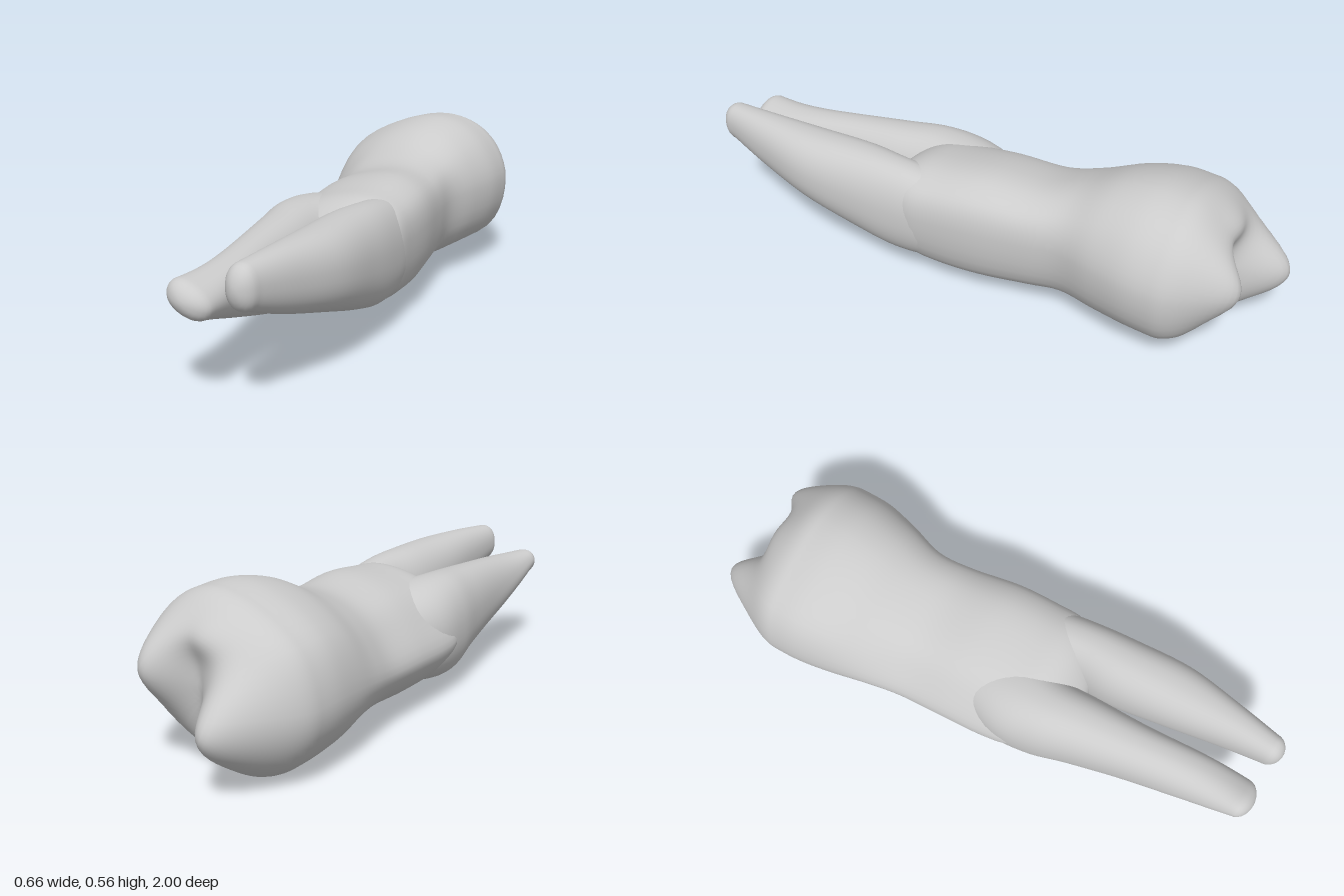
import * as THREE from 'three';
import { mergeVertices } from 'three/addons/utils/BufferGeometryUtils.js';

const SEG = 56;
const material = new THREE.MeshStandardMaterial({ color: 0xcccccc });

// Closed outlines in a -1..1 box, both running anticlockwise from +x
const outline = (pts) =>
  new THREE.CatmullRomCurve3(pts.map(([x, y]) => new THREE.Vector3(x, y, 0)), true);
const crownOutline = outline([[1, 0.15], [0.85, 0.62], [0.57, 0.9], [0.2, 1], [-0.3, 0.87], [-0.82, 0.5],
  [-1, -0.1], [-0.92, -0.5], [-0.65, -0.86], [-0.3, -1], [0.17, -0.92], [0.84, -0.5]]);
const neckOutline = outline([[1, 0.3], [0.9, 0.76], [0.6, 0.98], [0.2, 1], [-0.43, 0.77], [-0.78, 0.35],
  [-1, -0.15], [-0.87, -0.5], [-0.57, -0.82], [-0.2, -1], [0.3, -0.98], [0.83, -0.6]]);

// Smoothly resamples rows of section numbers
function resample(rows, count) {
  const curves = rows[0].map((_, k) =>
    new THREE.SplineCurve(rows.map((r, i) => new THREE.Vector2(i, r[k]))));
  return Array.from({ length: count + 1 }, (_, i) => curves.map((c) => c.getPoint(i / count).y));
}

// Skins a stack of rings that runs towards +z
function skin(name, rings) {
  const positions = rings.flat().flatMap((p) => [p.x, p.y, p.z]);
  const index = [];
  for (let i = 0; i < rings.length - 1; i++) {
    for (let j = 0; j < SEG; j++) {
      const a = i * SEG + j, b = i * SEG + (j + 1) % SEG;
      index.push(a, b, b + SEG, a, b + SEG, a + SEG);
    }
  }
  let geometry = new THREE.BufferGeometry();
  geometry.setAttribute('position', new THREE.Float32BufferAttribute(positions, 3));
  geometry.setIndex(index);
  geometry = mergeVertices(geometry, 1e-5);
  geometry.computeVertexNormals();
  const mesh = new THREE.Mesh(geometry, material);
  mesh.name = name;
  return mesh;
}

// Depth of the chewing surface: two cusps, a rim and the basin between them
function chewingDepth(x, y) {
  const bump = (cx, cy, sx, sy) => Math.exp(-(((x - cx) / sx) ** 2) - ((y - cy) / sy) ** 2);
  return 0.815 + 0.2 * bump(-0.17, 0.21, 0.125, 0.16) + 0.13 * bump(0.165, 0.34, 0.1, 0.14)
    + 0.05 * bump(-0.02, 0.45, 0.12, 0.07) - 0.02 * bump(0.03, 0.2, 0.04, 0.2);
}

function crownAndTrunk() {
  // z, xMin, xMax, yMin, yMax, blend from crown to neck outline
  const rows = [
    [-0.7, -0.33, 0.308, 0.003, 0.56, 0],
    [-0.6, -0.325, 0.305, 0.01, 0.565, 0],
    [-0.48, -0.302, 0.278, 0.02, 0.54, 0.2],
    [-0.35, -0.268, 0.242, 0.043, 0.482, 0.7],
    [-0.22, -0.238, 0.255, 0.043, 0.452, 1],
    [-0.05, -0.223, 0.287, 0.034, 0.463, 1],
    [0.1, -0.208, 0.3, 0.04, 0.452, 1],
    [0.2, -0.185, 0.3, 0.062, 0.44, 1],
    [0.27, -0.13, 0.26, 0.11, 0.4, 1],
    [0.33, -0.04, 0.16, 0.19, 0.32, 1],
    [0.345, 0.06, 0.06, 0.255, 0.255, 1],
  ];
  const body = resample(rows, 50).map(([z, x0, x1, y0, y1, blend]) =>
    Array.from({ length: SEG }, (_, j) => {
      const p = crownOutline.getPoint(j / SEG).lerp(neckOutline.getPoint(j / SEG), blend);
      return new THREE.Vector3((x0 + x1) / 2 + p.x * (x1 - x0) / 2, (y0 + y1) / 2 + p.y * (y1 - y0) / 2, z);
    }));

  // Chewing surface: the first ring shrinks to its centre while following the cusps
  const rim = body[0], centre = new THREE.Vector3(-0.01, 0.28, -0.7), cap = [];
  for (let i = 0; i < 24; i++) {
    const s = Math.sin((i / 24) * Math.PI / 2);
    cap.push(rim.map((r) => {
      const p = centre.clone().lerp(r, s);
      p.z = -0.7 - (chewingDepth(p.x, p.y) - 0.7) * Math.sqrt(1 - s ** 4);
      return p;
    }));
  }
  return skin('crownAndTrunk', [...cap, ...body]);
}

// Root rows: z, centre x, centre y, half width, half height, tilt; closed by a round tip
function root(name, rows) {
  const sections = resample(rows, 36);
  const [z, cx, cy, rx, ry, tilt] = sections.at(-1);
  for (let i = 1; i <= 7; i++) {
    const a = (i / 7) * Math.PI / 2, k = Math.cos(a);
    sections.push([z + (1 - z) * Math.sin(a), cx, cy, rx * k, ry * k, tilt]);
  }
  return skin(name, sections.map(([sz, x, y, w, h, t]) =>
    Array.from({ length: SEG }, (_, j) => {
      const a = (j / SEG) * Math.PI * 2;
      const soft = (v) => Math.sign(v) * Math.abs(v) ** 0.9;
      const px = w * soft(Math.cos(a)), py = h * soft(Math.sin(a));
      return new THREE.Vector3(x + px * Math.cos(t) - py * Math.sin(t), y + px * Math.sin(t) + py * Math.cos(t), sz);
    })));
}

export function createModel() {
  const tooth = new THREE.Group();
  tooth.name = 'molarTooth';
  tooth.add(
    crownAndTrunk(),
    root('rightRoot', [
      [-0.1, 0, 0.24, 0.13, 0.13, 0],
      [0.1, -0.03, 0.24, 0.16, 0.175, 0],
      [0.25, -0.045, 0.242, 0.135, 0.185, 0],
      [0.4, -0.025, 0.258, 0.115, 0.16, 0],
      [0.6, 0, 0.278, 0.092, 0.125, -0.05],
      [0.8, 0.024, 0.302, 0.08, 0.085, -0.25],
      [0.95, 0.035, 0.325, 0.076, 0.05, -0.45],
    ]),
    root('leftRoot', [
      [-0.1, 0.13, 0.27, 0.1, 0.13, 0],
      [0.1, 0.19, 0.27, 0.1, 0.16, 0],
      [0.25, 0.21, 0.28, 0.103, 0.172, 0],
      [0.4, 0.213, 0.302, 0.112, 0.16, 0],
      [0.6, 0.225, 0.335, 0.105, 0.13, 0],
      [0.8, 0.22, 0.365, 0.073, 0.1, 0],
      [0.95, 0.21, 0.39, 0.05, 0.07, 0],
    ]),
  );
  return tooth;
}
